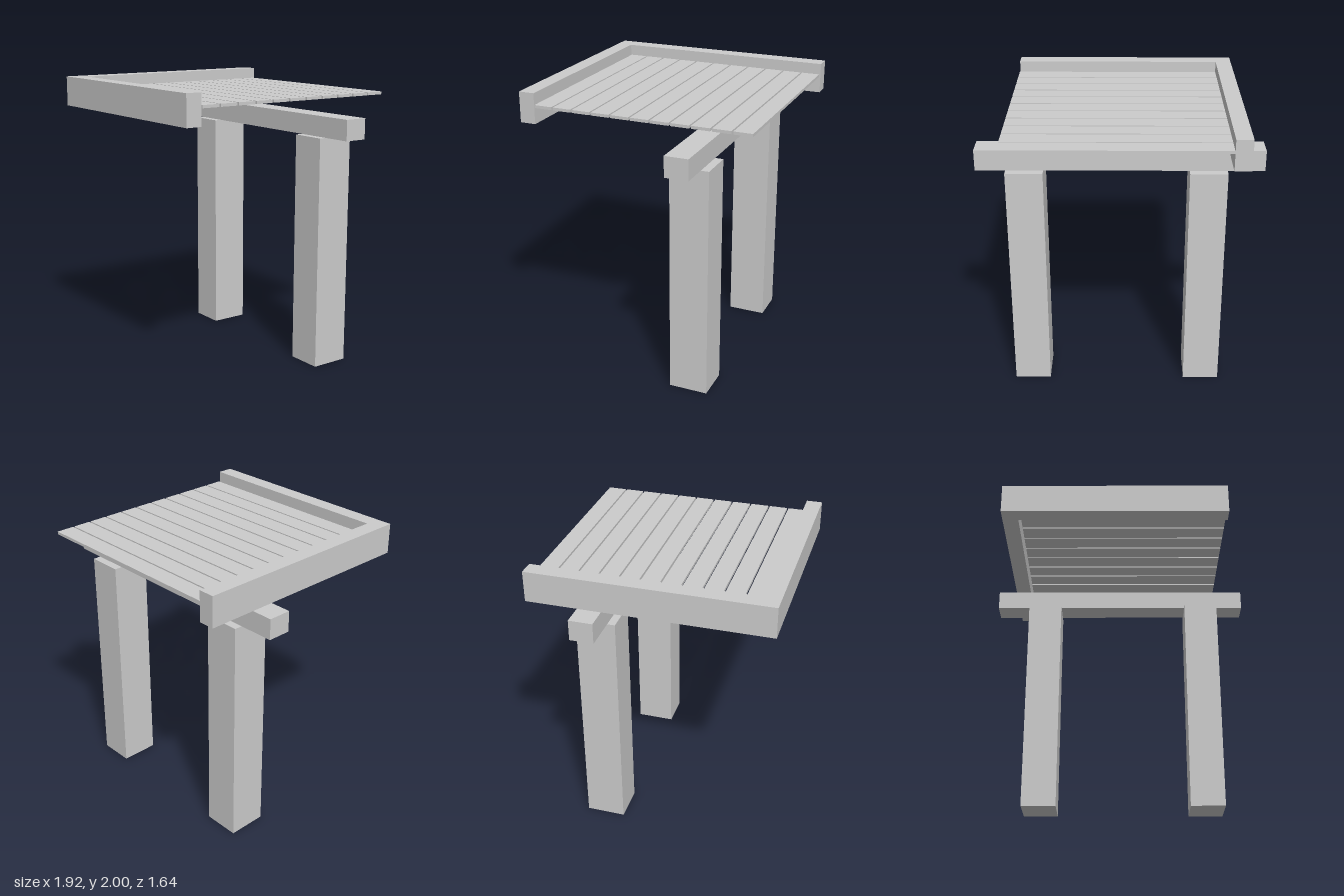
import * as THREE from 'three';

export function createModel() {
  const group = new THREE.Group();
  group.name = 'slattedCanopy';
  const material = new THREE.MeshStandardMaterial({ color: 0xcccccc, flatShading: true });

  const add = (name, geometry) => {
    const mesh = new THREE.Mesh(geometry, material);
    mesh.name = name;
    group.add(mesh);
    return mesh;
  };

  // Box given by its extents along each axis
  const box = (name, [x0, x1], [y0, y1], [z0, z1]) =>
    add(name, new THREE.BoxGeometry(x1 - x0, y1 - y0, z1 - z0))
      .position.set((x0 + x1) / 2, (y0 + y1) / 2, (z0 + z1) / 2);

  // Two square posts
  box('rightPost', [-0.716, -0.464], [0, 1.635], [-0.53, -0.258]);
  box('leftPost', [0.506, 0.758], [0, 1.635], [-0.53, -0.258]);

  // Cross beam resting on the posts
  box('crossBeam', [-0.964, 0.96], [1.635, 1.778], [-0.474, -0.311]);

  // L-shaped edge frame along the front and right sides (drawn in x, -z)
  const outline = [
    [-0.828, -0.82], [0.758, -0.82], [0.758, -0.71],
    [-0.716, -0.71], [-0.716, 0.822], [-0.828, 0.822],
  ].map(([x, y]) => new THREE.Vector2(x, y));
  const frame = add('edgeFrame', new THREE.ExtrudeGeometry(new THREE.Shape(outline), {
    depth: 0.212, bevelEnabled: false,
  }));
  frame.rotation.x = -Math.PI / 2;
  frame.position.y = 1.788;

  // Thin roof slats with narrow gaps
  for (let i = 0; i < 11; i++) {
    const z = -0.812 + i * 0.139;
    box(`slat${i + 1}`, [-0.716, 0.763], [1.902, 1.922], [z, z + 0.127]);
  }

  return group;
}
